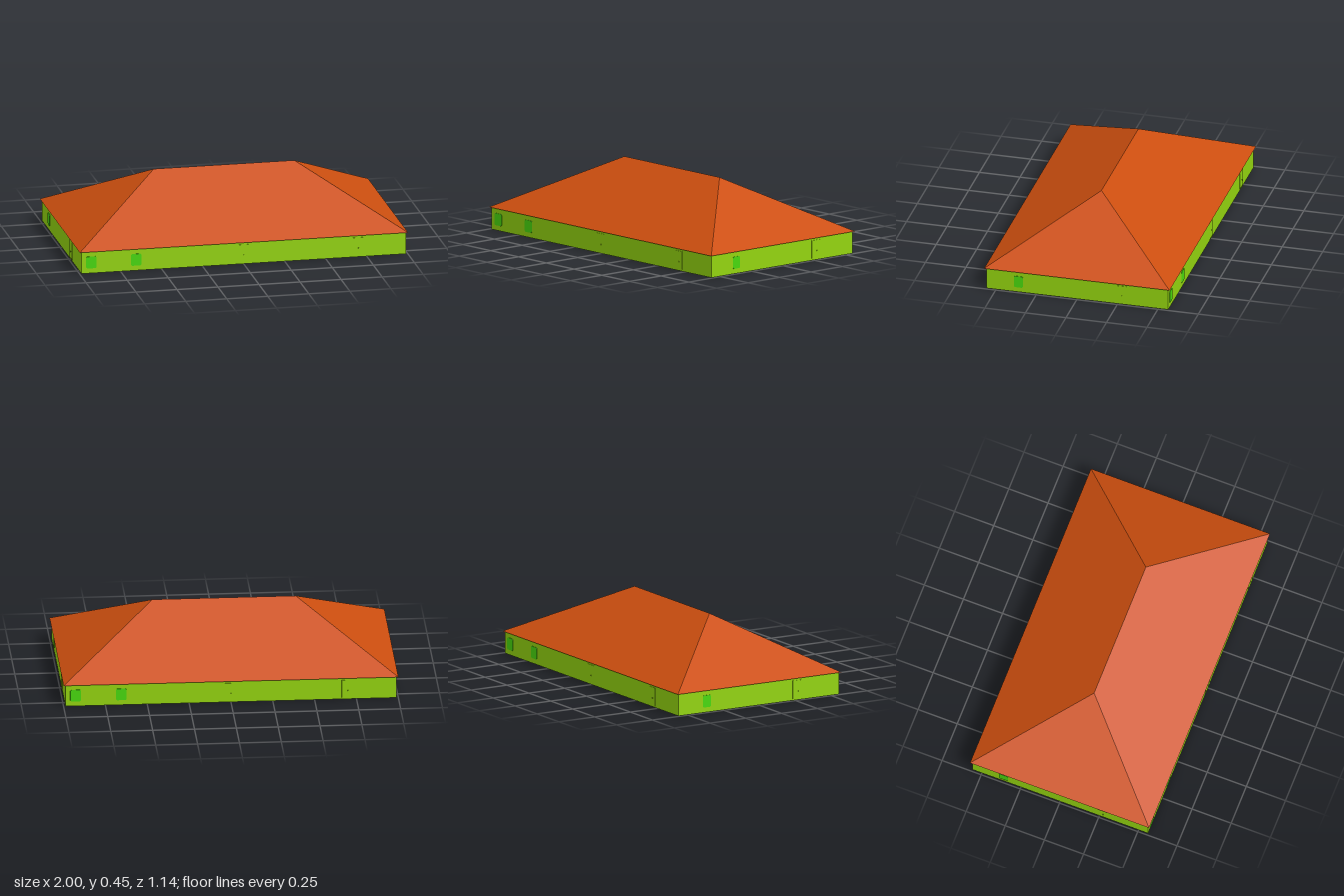
import * as THREE from 'three';

const WALL_X = 0.988, WALL_Z = 0.561, WALL_H = 0.134; // wall half sizes and height
const ROOF_X = 1, ROOF_Z = 0.572, RIDGE_X = 0.428, RIDGE_Y = 0.452;

const wallGreen = new THREE.MeshStandardMaterial({ color: 0x93d40f, side: THREE.DoubleSide });
wallGreen.name = 'wallGreen';
const windowGreen = new THREE.MeshStandardMaterial({ color: 0x48d80d });
windowGreen.name = 'windowGreen';
const roofOrange = new THREE.MeshStandardMaterial({ color: 0xcc4e0f, side: THREE.DoubleSide });
roofOrange.name = 'roofOrange';

function add(parent, name, geometry, material, x = 0, y = 0, z = 0) {
  const mesh = new THREE.Mesh(geometry, material);
  mesh.name = name;
  mesh.position.set(x, y, z);
  parent.add(mesh);
  return mesh;
}

// Thin pane with softened corners, centred on its own origin
function paneGeometry(w, h, depth) {
  const c = 0.007, x = w / 2, y = h / 2;
  const shape = new THREE.Shape([
    [-x + c, -y], [x - c, -y], [x, -y + c], [x, y - c],
    [x - c, y], [-x + c, y], [-x, y - c], [-x, -y + c],
  ].map(([px, py]) => new THREE.Vector2(px, py)));
  return new THREE.ExtrudeGeometry(shape, { depth, bevelEnabled: false }).translate(0, 0, -depth / 2);
}

// One side of the house, facing +z before it is turned into place
function side(name, halfWidth, distance, windows, windowWidth, doors) {
  const group = new THREE.Group();
  group.name = name;
  add(group, 'wall', new THREE.PlaneGeometry(halfWidth * 2, WALL_H), wallGreen, 0, WALL_H / 2, distance);
  for (const x of windows) {
    add(group, 'window', paneGeometry(windowWidth, 0.073, 0.006), windowGreen, x, 0.067, distance);
  }
  for (const x of doors) {
    add(group, 'door', new THREE.BoxGeometry(0.066, 0.11, 0.005), wallGreen, x - 0.005, 0.065, distance);
    add(group, 'doorHandle', new THREE.BoxGeometry(0.005, 0.004, 0.016), wallGreen, x, 0.055, distance);
  }
  return group;
}

// Hollow hipped roof: four flat slopes meeting at a ridge
function roofGeometry() {
  const a = [-ROOF_X, WALL_H, ROOF_Z], b = [ROOF_X, WALL_H, ROOF_Z];
  const c = [ROOF_X, WALL_H, -ROOF_Z], d = [-ROOF_X, WALL_H, -ROOF_Z];
  const l = [-RIDGE_X, RIDGE_Y, 0], r = [RIDGE_X, RIDGE_Y, 0];
  const faces = [a, b, r, a, r, l, b, c, r, c, d, l, c, l, r, d, a, l];
  const geometry = new THREE.BufferGeometry();
  geometry.setAttribute('position', new THREE.Float32BufferAttribute(faces.flat(), 3));
  geometry.computeVertexNormals();
  return geometry;
}

export function createModel() {
  const house = new THREE.Group();
  house.name = 'house';

  // Opposite sides repeat, turned half way round
  for (const [i, turn] of [0, Math.PI].entries()) {
    const long = side(i ? 'backSide' : 'frontSide', WALL_X, WALL_Z, [-0.928, -0.655], 0.064, [0, 0.7]);
    long.rotation.y = turn;
    const short = side(i ? 'rightSide' : 'leftSide', WALL_Z, WALL_X, [-0.362], 0.056, [0.275]);
    short.rotation.y = turn + Math.PI / 2;
    house.add(long, short);
  }

  add(house, 'roof', roofGeometry(), roofOrange);
  return house;
}
